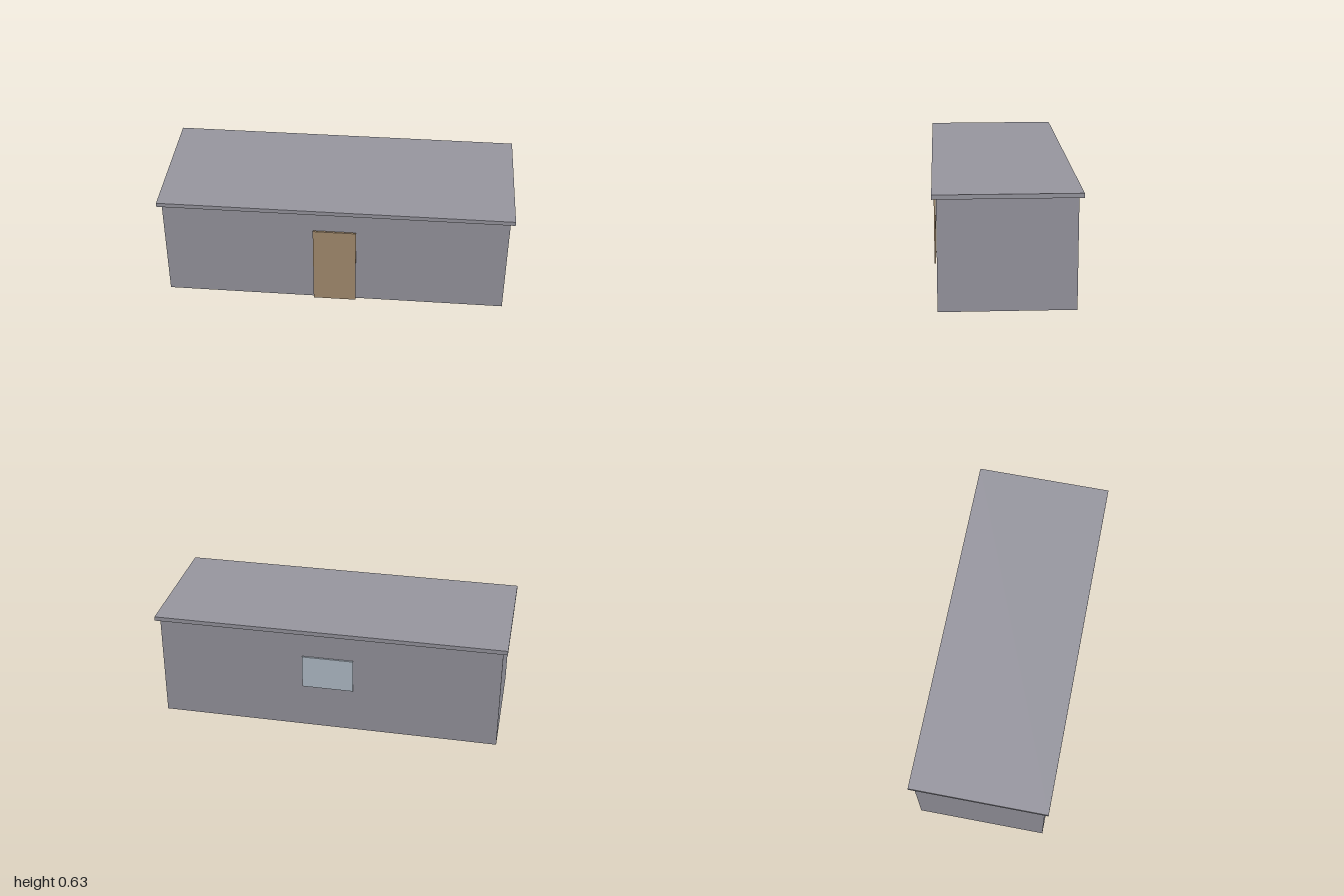
import * as THREE from 'three';

export function createModel() {
  const model = new THREE.Group();
  model.name = 'building';

  const concrete = new THREE.MeshStandardMaterial({ color: 0x9897a0 });
  concrete.name = 'concrete grey';
  const wood = new THREE.MeshStandardMaterial({ color: 0xa68e70 });
  wood.name = 'door tan';
  const glass = new THREE.MeshStandardMaterial({ color: 0xb5c0cc });
  glass.name = 'window blue';

  // Box standing with its underside at the given height
  function addBox(name, material, [w, h, d], bottom, z = 0) {
    const mesh = new THREE.Mesh(new THREE.BoxGeometry(w, h, d), material);
    mesh.name = name;
    mesh.position.set(0, bottom + h / 2, z);
    model.add(mesh);
  }

  // Main block and overhanging flat roof
  addBox('walls', concrete, [1.951, 0.61, 0.732], 0);
  addBox('roof', concrete, [2, 0.0244, 0.78], 0.61);

  // Door panel in front and window pane behind, each just clear of the wall
  addBox('door', wood, [0.244, 0.488, 0.0098], 0, 0.378);
  addBox('window', glass, [0.293, 0.195, 0.0098], 0.268, -0.378);

  return model;
}
